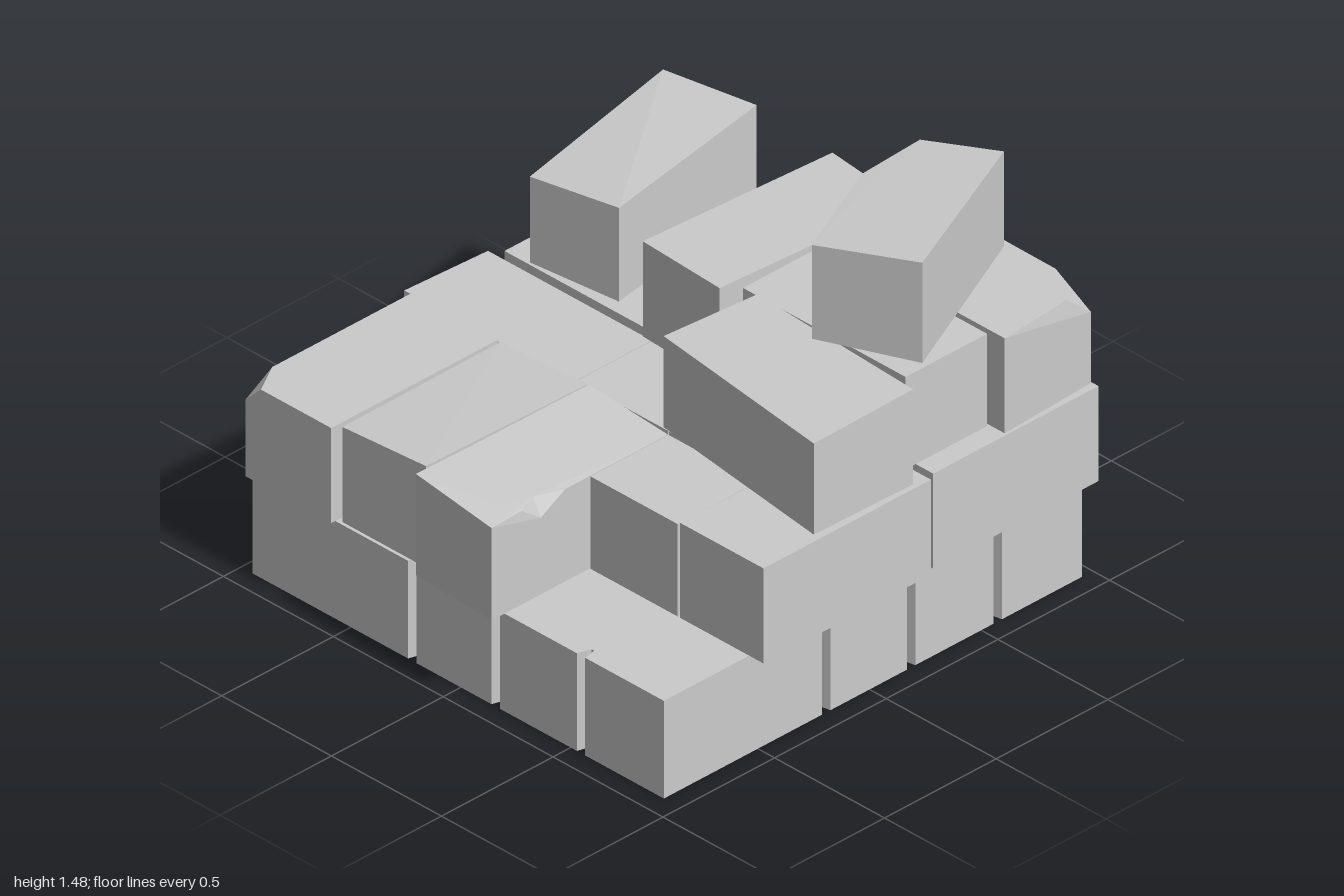
import * as THREE from 'three';
import { ConvexGeometry } from 'three/addons/geometries/ConvexGeometry.js';

const material = new THREE.MeshStandardMaterial({ color: 0xcccccc, flatShading: true });
const openMaterial = new THREE.MeshStandardMaterial({ color: 0xcccccc, flatShading: true, side: THREE.DoubleSide });

// Four-cornered stone: corners are [x, z], each with its own top height.
// chips maps a corner index to the points that replace its top vertex.
function stone(name, y0, tops, corners, chips = {}) {
  const points = [];
  corners.forEach(([x, z], i) => {
    const top = Array.isArray(tops) ? tops[i] : tops;
    points.push([x, y0, z], ...(chips[i] ?? [[x, top, z]]));
  });
  const mesh = new THREE.Mesh(new ConvexGeometry(points.map((p) => new THREE.Vector3(...p))), material);
  mesh.name = name;
  return mesh;
}

const rect = (x0, x1, z0, z1) => [[x0, z0], [x1, z0], [x1, z1], [x0, z1]];

// Hollow bottom course: four identical sides in a pinwheel, grooved at the joints
function bottomCourse() {
  const group = new THREE.Group();
  group.name = 'bottomCourse';
  const h = 0.936, height = 0.37, depth = 0.05;
  const outline = [];
  for (let side = 0; side < 4; side++) {
    const edge = [[-h, h]];
    for (const x of [-0.208, 0.172, 0.56]) {
      edge.push([x - 0.02, h], [x - 0.005, h - depth], [x + 0.008, h - depth], [x + 0.018, h]);
    }
    for (let [x, z] of edge) {
      for (let k = 0; k < side; k++) [x, z] = [z, -x];
      outline.push(new THREE.Vector2(x - 0.012, z - 0.015));
    }
  }
  const positions = [];
  outline.forEach((a, i) => {
    const b = outline[(i + 1) % outline.length];
    positions.push(a.x, 0, a.y, b.x, 0, b.y, b.x, height, b.y);
    positions.push(a.x, 0, a.y, b.x, height, b.y, a.x, height, a.y);
  });
  const wall = new THREE.BufferGeometry();
  wall.setAttribute('position', new THREE.Float32BufferAttribute(positions, 3));
  wall.computeVertexNormals();
  const walls = new THREE.Mesh(wall, openMaterial);
  walls.name = 'bottomWalls';
  const top = new THREE.ShapeGeometry(new THREE.Shape(outline));
  top.rotateX(Math.PI / 2).translate(0, height, 0);
  const cover = new THREE.Mesh(top, openMaterial);
  cover.name = 'bottomCover';
  group.add(walls, cover);
  return group;
}

// Second course: full layer of stones, stepped back at the front left
function middleCourse() {
  const group = new THREE.Group();
  group.name = 'middleCourse';
  const y = 0.38;
  const add = (name, tops, corners, chips) => group.add(stone(name, y, tops, corners, chips));

  add('frontCornerStone', 0.74, rect(-0.95, -0.56, 0.2, 0.95), {
    3: [[-0.95, 0.74, 0.83], [-0.88, 0.74, 0.95], [-0.95, 0.67, 0.95]],
  });
  add('frontStone', [0.735, 0.755, 0.765, 0.74], [[-0.55, 0.2], [-0.155, 0.2], [-0.16, 0.92], [-0.54, 0.92]]);

  // Projecting stone in two halves, meeting at the bite in its edge
  add('projectingStoneRear', [0.755, 0.73, 0.73, 0.76], rect(-0.15, 0.21, 0.2, 0.77), {
    2: [[0.21, 0.73, 0.66], [0.21, 0.67, 0.77], [0.175, 0.735, 0.77]],
  });
  add('projectingStoneFront', [0.76, 0.73, 0.73, 0.765], [[-0.15, 0.77], [0.21, 0.77], [0.21, 0.99], [-0.15, 0.975]], {
    1: [[0.21, 0.67, 0.77], [0.175, 0.735, 0.77], [0.145, 0.738, 0.89], [0.205, 0.73, 0.85]],
  });

  add('recessedStone', 0.73, rect(0.213, 0.61, 0.2, 0.55));
  add('leftSideStone', 0.74, [[0.63, -0.2], [1, -0.2], [1, 0.55], [0.62, 0.55]]);
  add('leftRearStone', 0.74, rect(0.6, 0.98, -0.97, -0.23));
  add('backStone', 0.74, [[0.19, -1], [0.55, -0.98], [0.58, -0.21], [0.21, -0.21]]);
  add('backStone', 0.74, [[-0.2, -0.99], [0.17, -0.965], [0.17, -0.19], [-0.2, -0.19]]);
  add('backCornerStone', 0.74, rect(-0.96, -0.22, -0.97, -0.58));
  add('rightSideStone', 0.74, rect(-0.92, -0.22, -0.55, -0.18));
  add('rightSideStone', 0.72, [[-0.98, -0.165], [-0.235, -0.165], [-0.235, 0.19], [-1, 0.19]]);
  add('coreStone', 0.735, rect(-0.215, 0.2, -0.17, 0.19));
  add('coreStone', 0.735, rect(0.205, 0.62, -0.19, 0.19));
  return group;
}

// Loose stones of the third course, and one twisted on top
function upperStones() {
  const group = new THREE.Group();
  group.name = 'upperStones';
  const y = 0.74;
  group.add(
    stone('leftLooseStone', y, [1.1, 1.1, 1.085, 1.085], [[0.23, -0.18], [0.98, -0.14], [0.97, 0.295], [0.18, 0.19]]),
    stone('innerStone', y, 1.09, rect(0.16, 0.9, -0.55, -0.185)),
    stone('rearStone', y, 1.1, [[0.19, -0.97], [0.95, -0.965], [0.97, -0.56], [0.2, -0.56]], {
      1: [[0.79, 1.1, -0.965], [0.945, 1.1, -0.86], [0.95, 1.01, -0.965]],
    }),
    stone('middleLooseStone', y, 1.1, [[-0.2, -0.94], [0.17, -0.9], [0.12, -0.12], [-0.25, -0.14]]),
    stone('rightLooseStone', y, [1.1, 1.1, 1.095, 1.065], [[-0.93, -0.9], [-0.57, -0.965], [-0.45, -0.23], [-0.815, -0.19]]),
    stone('topStone', 1.1, [1.43, 1.46, 1.48, 1.455], [[0.22, -0.78], [0.58, -0.94], [0.89, -0.27], [0.54, -0.12]], {
      0: [[0.22, 1.33, -0.78], [0.32, 1.44, -0.82], [0.335, 1.44, -0.54], [0.29, 1.3, -0.635]],
    }),
  );
  return group;
}

export function createModel() {
  const model = new THREE.Group();
  model.name = 'stonePile';
  model.add(bottomCourse(), middleCourse(), upperStones());
  return model;
}
